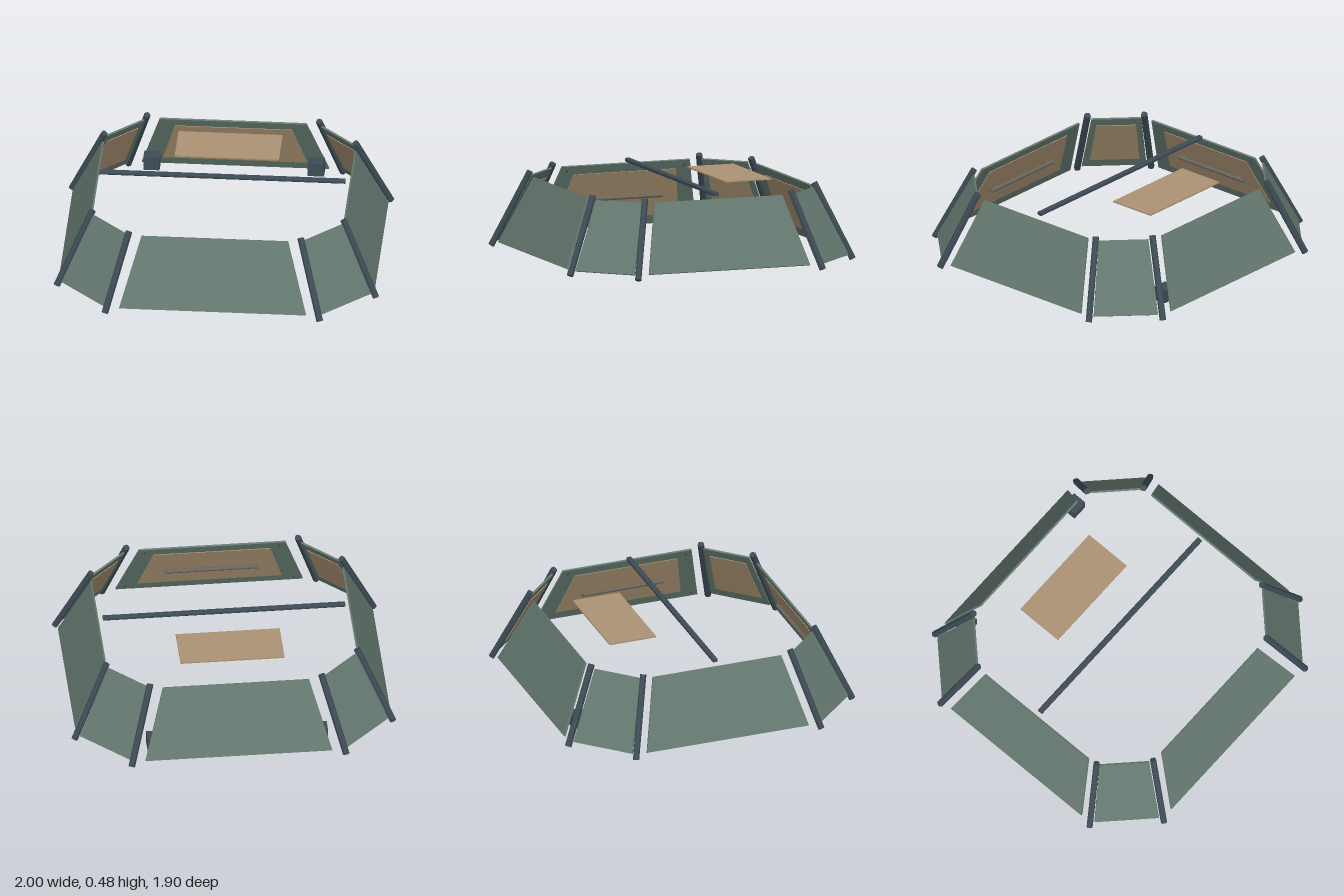
import * as THREE from 'three';

const mat = (name, color) => {
  const m = new THREE.MeshStandardMaterial({ color });
  m.name = name;
  return m;
};

export function createModel() {
  const root = new THREE.Group();
  root.name = 'panelRing';
  const plate = mat('greyGreenPlate', 0x667a71);
  const liner = mat('tanLiner', 0xab9373);
  const frame = mat('slateFrame', 0x3e4c56);
  const grip = mat('greyGrip', 0x69675d);

  const add = (parent, name, geometry, material, x = 0, y = 0, z = 0) => {
    const mesh = new THREE.Mesh(geometry, material);
    mesh.name = name;
    mesh.position.set(x, y, z);
    parent.add(mesh);
    return mesh;
  };

  // Trapezoid plate: base on y = 0, thickness from z = 0 back to z = -depth
  const trapezoid = (wBottom, wTop, h, depth) => {
    const b = wBottom / 2, t = wTop / 2;
    const shape = new THREE.Shape([
      new THREE.Vector2(-b, 0), new THREE.Vector2(b, 0),
      new THREE.Vector2(t, h), new THREE.Vector2(-t, h),
    ]);
    return new THREE.ExtrudeGeometry(shape, { depth, bevelEnabled: false }).translate(0, 0, -depth);
  };

  // Bar with chamfered edges, centred, its length along z
  const bar = (w, h, length) => {
    const x = w / 2, y = h / 2, c = Math.min(w, h) * 0.22;
    const shape = new THREE.Shape([
      [x - c, -y], [x, -y + c], [x, y - c], [x - c, y],
      [-x + c, y], [-x, y - c], [-x, -y + c], [-x + c, -y],
    ].map(([a, b]) => new THREE.Vector2(a, b)));
    return new THREE.ExtrudeGeometry(shape, { depth: length, bevelEnabled: false })
      .translate(0, 0, -length / 2);
  };

  // Sloped wall panel with its inner liner, bolts and optional grip rail
  const T = 0.012;
  const panel = (name, deg, bottom, top, wBottom, wTop, hasGrip) => {
    const a = THREE.MathUtils.degToRad(deg);
    const side = new THREE.Vector3(Math.cos(a), 0, -Math.sin(a));
    const low = new THREE.Vector3(...bottom);
    const up = new THREE.Vector3(...top).sub(low);
    up.addScaledVector(side, -up.dot(side));
    const h = up.length();
    up.normalize();
    const out = new THREE.Vector3().crossVectors(side, up);
    const g = new THREE.Group();
    g.name = name;
    g.quaternion.setFromRotationMatrix(new THREE.Matrix4().makeBasis(side, up, out));
    g.position.copy(low);
    root.add(g);

    add(g, 'plate', trapezoid(wBottom, wTop, h, T), plate);
    add(g, 'liner', trapezoid(wBottom * 0.77, wTop * 0.8, h * 0.73, 0.006), liner, 0, h * 0.14, -T + 0.002);
    if (!hasGrip) return;
    const length = (wBottom + wTop) * 0.28;
    const rail = new THREE.CylinderGeometry(0.012, 0.012, length, 10).rotateZ(Math.PI / 2);
    add(g, 'gripRail', rail, grip, 0, h * 0.48, -T - 0.022);
    for (const s of [-1, 1]) {
      add(g, 'gripMount', new THREE.BoxGeometry(0.02, 0.02, 0.022), grip, s * length * 0.42, h * 0.48, -T - 0.011);
      for (const [v, w] of [[0.08, wBottom * 0.45], [0.93, wTop * 0.46]]) {
        const bolt = new THREE.CylinderGeometry(0.007, 0.007, 0.006, 8).rotateX(Math.PI / 2);
        add(g, 'bolt', bolt, frame, s * w, h * v, -T - 0.002);
      }
    }
  };

  panel('frontPanel', 0, [0, 0.04, 0.92], [0, 0.452, 0.735], 1.15, 0.9, true);
  panel('backPanel', 180, [0, 0.04, -0.925], [0, 0.452, -0.74], 1.15, 0.9, false);
  for (const s of [-1, 1]) {
    panel('sidePanel', s * 90, [s * 0.97, 0.04, 0], [s * 0.78, 0.452, 0], 1.06, 0.84, true);
    for (const f of [-1, 1]) {
      const deg = s * (f > 0 ? 45 : 135);
      panel('cornerPanel', deg, [s * 0.81, 0.04, f * 0.76], [s * 0.653, 0.452, f * 0.61], 0.396, 0.305, false);
    }
  }

  // Sloping ribs, two at each corner
  const ribs = [
    [[0.98, 0.01, 0.607], [0.77, 0.475, 0.48]],
    [[0.66, 0.01, 0.93], [0.527, 0.475, 0.727]],
  ];
  for (const s of [-1, 1]) for (const f of [-1, 1]) for (const [b, t] of ribs) {
    const low = new THREE.Vector3(b[0] * s, b[1], b[2] * f);
    const high = new THREE.Vector3(t[0] * s, t[1], t[2] * f);
    const axis = high.clone().sub(low);
    const length = axis.length();
    axis.normalize();
    const side = new THREE.Vector3(0, 1, 0).cross(axis).normalize();
    const out = new THREE.Vector3().crossVectors(axis, side);
    const rib = add(root, 'rib', bar(0.036, 0.036, length), frame);
    rib.quaternion.setFromRotationMatrix(new THREE.Matrix4().makeBasis(side, out, axis));
    rib.position.copy(low).lerp(high, 0.5);
  }

  // Cross beam and flat overhead board
  add(root, 'crossBeam', bar(0.034, 0.024, 1.49).rotateY(Math.PI / 2), frame, 0, 0.474, 0);
  add(root, 'overheadBoard', new THREE.BoxGeometry(0.64, 0.008, 0.305), liner, 0, 0.477, -0.377);

  // Small boxes inside the back corners
  for (const s of [-1, 1]) {
    add(root, 'cornerBox', new THREE.BoxGeometry(0.1, 0.085, 0.09), frame, s * 0.505, 0.108, -0.81);
  }
  return root;
}
